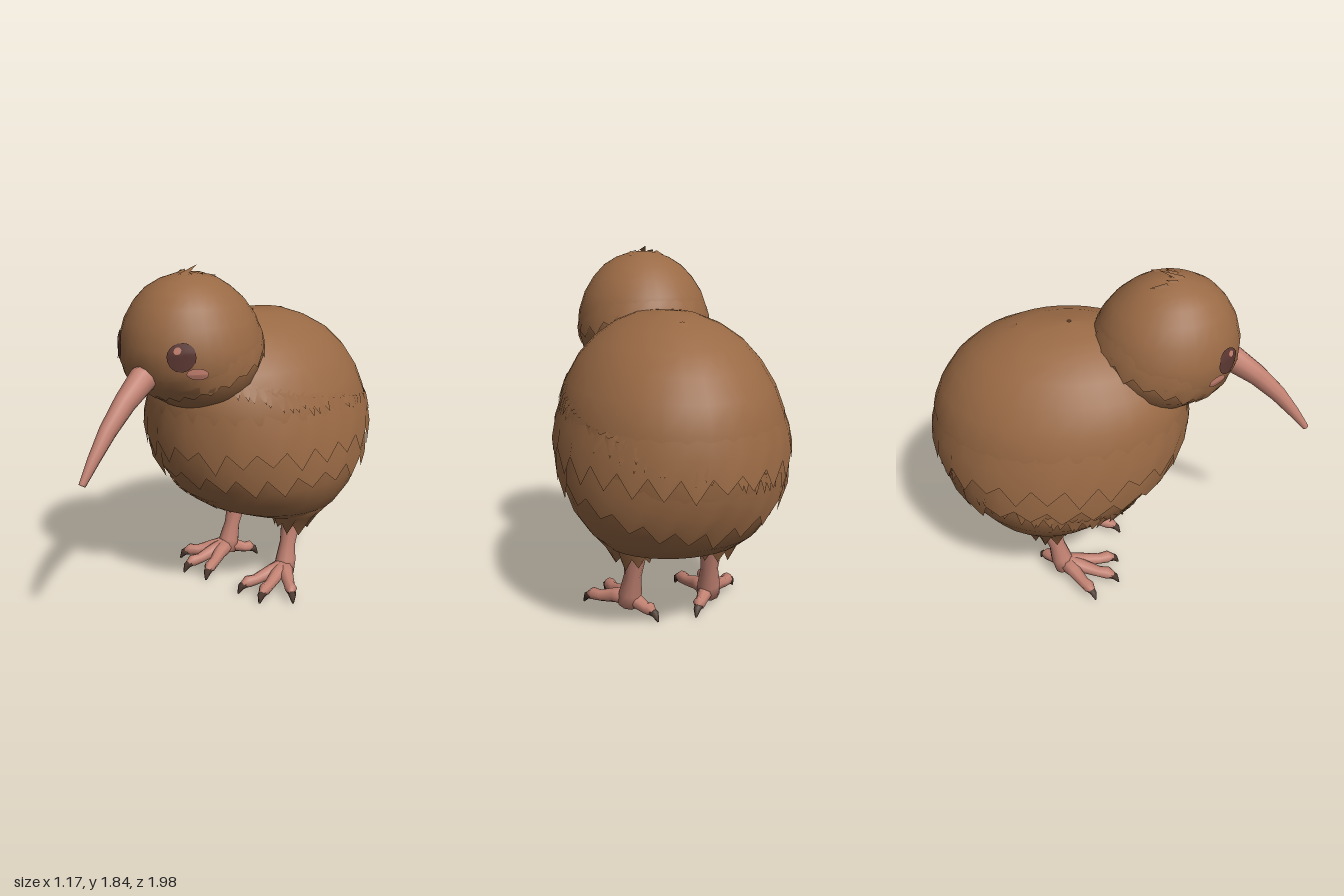
import * as THREE from 'three';
import { mergeGeometries } from 'three/addons/utils/BufferGeometryUtils.js';

const mat = (name, color, side = THREE.FrontSide) => {
  const m = new THREE.MeshStandardMaterial({ color, side });
  m.name = name;
  return m;
};
const V = (x, y, z) => new THREE.Vector3(x, y, z);
const TAU = Math.PI * 2;

// Cross-sections: [y, front z, back z, half width]
const BODY = [
  [0.37, -0.39, -0.41, 0.01], [0.39, -0.24, -0.56, 0.26], [0.43, -0.12, -0.67, 0.35], [0.5, 0.03, -0.77, 0.43],
  [0.6, 0.16, -0.85, 0.5], [0.7, 0.24, -0.91, 0.535], [0.82, 0.31, -0.95, 0.555], [0.96, 0.345, -0.965, 0.56],
  [1.1, 0.365, -0.955, 0.545], [1.22, 0.36, -0.905, 0.505], [1.33, 0.31, -0.83, 0.44], [1.42, 0.22, -0.73, 0.36],
  [1.49, 0.11, -0.6, 0.26], [1.535, -0.01, -0.47, 0.15], [1.555, -0.23, -0.25, 0.01]];
const HEAD = [
  [1.12, 0.2, 0.1, 0.06], [1.17, 0.37, 0.02, 0.18], [1.22, 0.45, -0.03, 0.255], [1.3, 0.55, -0.08, 0.325],
  [1.4, 0.595, -0.12, 0.352], [1.5, 0.6, -0.125, 0.346], [1.6, 0.575, -0.09, 0.312], [1.68, 0.53, -0.03, 0.262],
  [1.74, 0.475, 0.04, 0.205], [1.78, 0.41, 0.1, 0.14], [1.805, 0.33, 0.17, 0.07], [1.812, 0.26, 0.24, 0.008]];

// Interpolated cross-section at a height
function section(rows, y) {
  let i = 0;
  while (i < rows.length - 2 && rows[i + 1][0] < y) i++;
  const t = THREE.MathUtils.clamp((y - rows[i][0]) / (rows[i + 1][0] - rows[i][0]), 0, 1);
  const [, f, b, w] = rows[i].map((v, k) => v + (rows[i + 1][k] - v) * t);
  return { c: (f + b) / 2, d: (f - b) / 2, w };
}
// Point on a shape; angle 0 faces the front and grows towards +x
function onSurface(rows, a, y, off = 0) {
  const { c, d, w } = section(rows, y);
  return V((w + off) * Math.sin(a), y, c + (d + off) * Math.cos(a));
}

// Skin closed rings of points, listed bottom to top
function loft(rings) {
  const n = rings[0].length, idx = [];
  for (let i = 0; i < rings.length - 1; i++) for (let j = 0; j < n; j++) {
    const a = i * n + j, b = i * n + (j + 1) % n;
    idx.push(a, b, b + n, a, b + n, a + n);
  }
  const g = new THREE.BufferGeometry().setFromPoints(rings.flat());
  g.setIndex(idx);
  g.computeVertexNormals();
  return g;
}
const ringOf = (n, fn) => Array.from({ length: n }, (_, j) => fn((j / n) * TAU, j));
const shell = (rows) => loft(rows.map((r) => ringOf(32, (a) => onSurface(rows, a, r[0]))));

// Tapered tube through points with a radius at each, closed at both ends
function limb(pts, radii, n = 10) {
  const rings = pts.map((p, i) => {
    const t = pts[Math.min(i + 1, pts.length - 1)].clone().sub(pts[Math.max(i - 1, 0)]).normalize();
    const u = (Math.abs(t.x) > 0.8 ? V(0, 0, 1) : V(1, 0, 0)).cross(t).normalize();
    const v = t.clone().cross(u);
    return ringOf(n, (a) => p.clone().addScaledVector(u, Math.cos(a) * radii[i]).addScaledVector(v, Math.sin(a) * radii[i]));
  });
  const cap = (p) => ringOf(n, () => p.clone());
  return loft([cap(pts[0]), ...rings, cap(pts[pts.length - 1])]);
}

let seed = 7;
const rand = () => (seed = (seed * 16807) % 2147483647) / 2147483647;

// Ruff of feathers with a ragged lower hem
function ruff(rows, hem, height, teeth, depth, flare) {
  const n = teeth * 2;
  const lows = ringOf(n, (a, j) => hem(a) - (j % 2 ? depth * (0.6 + 0.7 * rand()) : 0));
  return loft([
    ringOf(n, (a, j) => onSurface(rows, a, lows[j], flare)),
    ringOf(n, (a) => onSurface(rows, a, hem(a) + height * 0.4, flare * 0.6)),
    ringOf(n, (a) => onSurface(rows, a, hem(a) + height, -0.004))]);
}
// Single pointed feather with a raised ridge
function feather(left, right, ridge, tip) {
  const g = new THREE.BufferGeometry().setFromPoints([left, right, ridge, tip]);
  g.setIndex([0, 3, 2, 2, 3, 1]);
  g.computeVertexNormals();
  return g;
}
function surfaceFeather(rows, a, y, len, width, lift) {
  const da = width / 2 / (section(rows, y).w + 0.05);
  return feather(onSurface(rows, a - da, y, -0.003), onSurface(rows, a + da, y, -0.003),
    onSurface(rows, a, y - len * 0.2, lift * 0.5), onSurface(rows, a + (rand() - 0.5) * 0.08, y - len, lift));
}

export function createModel() {
  const plumage = mat('brown plumage', 0x9a6a45, THREE.DoubleSide);
  const skin = mat('pink skin', 0xc28272);
  const claw = mat('dark claw', 0x4c372e);
  const eyeMat = mat('dark eye', 0x5c3833);
  const blush = mat('pink blush', 0xc07d6c);
  const model = new THREE.Group();
  model.name = 'bird';
  const add = (name, geometry, material, parent = model) => {
    const m = new THREE.Mesh(geometry, material);
    m.name = name;
    parent.add(m);
    return m;
  };

  // Body and its layered feathers
  add('body', shell(BODY), plumage);
  const back = (a) => Math.max(0, -Math.cos(a));
  add('upperRuff', ruff(BODY, (a) => 0.95 - 0.04 * back(a), 0.22, 26, 0.1, 0.026), plumage);
  add('lowerRuff', ruff(BODY, (a) => 0.8 - 0.17 * back(a) ** 2, 0.2, 24, 0.09, 0.026), plumage);
  const loose = [];
  for (let i = 0; i < 80; i++) {
    const y = 0.55 + 0.85 * ((i * 0.618) % 1);
    loose.push(surfaceFeather(BODY, i * 2.4, y, 0.08 + 0.04 * rand(), 0.09, y > 1.1 ? 0.008 : 0.022));
  }
  loose.push(feather(V(-0.04, 1.52, -0.5), V(0.04, 1.52, -0.5), V(0, 1.53, -0.5), V(0, 1.475, -0.62)));
  add('bodyFeathers', mergeGeometries(loose), plumage);

  // Head, neck ruff and crest
  add('head', shell(HEAD), plumage);
  add('neckRuff', ruff(HEAD, (a) => 1.385 - 0.135 * Math.cos(a), 0.12, 22, 0.045, 0.008), plumage);
  const crest = [[0, 0.36, 0.19, 1.842], [-0.05, 0.33, 0.22, 1.82], [0.05, 0.33, 0.22, 1.82],
    [-0.09, 0.28, 0.15, 1.795], [0.09, 0.28, 0.15, 1.795]].map(([x, z0, z1, y]) =>
    feather(V(x * 0.6 + 0.035, 1.79, z0 - 0.03), V(x * 0.6 - 0.035, 1.79, z0 - 0.03), V(x * 0.8, 1.815, z0 - 0.05), V(x, y, z1)));
  add('crest', mergeGeometries(crest), plumage);

  // Long curved beak
  add('beak', limb([V(0, 1.37, 0.5), V(0, 1.352, 0.585), V(0, 1.265, 0.7), V(0, 1.155, 0.815), V(0, 1.04, 0.91), V(0, 0.94, 0.985)],
    [0.07, 0.067, 0.054, 0.043, 0.03, 0.017]), skin);

  // Painted face spots, wrapped over the head
  const spot = (name, cx, cy, rx, ry, lift, material) => {
    const g = new THREE.RingGeometry(0, 1, 20, 4);
    const p = g.attributes.position;
    for (let i = 0; i < p.count; i++) {
      const x = cx + p.getX(i) * rx, y = cy + p.getY(i) * ry;
      const v = onSurface(HEAD, Math.asin(x / section(HEAD, y).w), y, lift);
      p.setXYZ(i, v.x, v.y, v.z);
    }
    g.computeVertexNormals();
    add(name, g, material);
  };
  for (const s of [1, -1]) {
    spot('eye', s * 0.2, 1.48, 0.054, 0.068, 0.005, eyeMat);
    spot('eyeShine', s * 0.188, 1.512, 0.014, 0.017, 0.008, blush);
    spot('cheek', s * 0.255, 1.402, 0.034, 0.028, 0.007, blush);
  }

  // Legs: thigh feathers, shank, and four clawed toes
  for (const s of [1, -1]) {
    const leg = new THREE.Group();
    leg.name = s > 0 ? 'leftLeg' : 'rightLeg';
    model.add(leg);
    const thigh = (y, r, z, x, jag = 0) => ringOf(18, (a, j) =>
      V(s * x + r * Math.sin(a), y - (j % 2 ? jag * (0.5 + 0.7 * rand()) : 0), z + r * Math.cos(a)));
    add('thighFeathers', loft([thigh(0.36, 0.095, -0.37, 0.205, 0.055), thigh(0.42, 0.14, -0.37, 0.22),
      thigh(0.5, 0.19, -0.36, 0.24), thigh(0.62, 0.2, -0.35, 0.25)]), plumage, leg);
    add('shank', limb([V(s * 0.2, 0.46, -0.38), V(s * 0.2, 0.33, -0.365), V(s * 0.205, 0.22, -0.335),
      V(s * 0.21, 0.13, -0.315), V(s * 0.215, 0.06, -0.29)], [0.065, 0.055, 0.045, 0.058, 0.06]), skin, leg);
    // Toe tips: inner, middle, outer, hind
    const ankle = V(s * 0.215, 0.085, -0.29);
    for (const [x, z] of [[0.13, -0.03], [0.27, -0.02], [0.39, -0.13], [0.12, -0.42]]) {
      const tip = V(s * x, 0.055, z);
      const at = (t, y) => ankle.clone().lerp(tip, t).setY(y);
      add('toe', limb([at(0, 0.09), at(0.35, 0.08), at(0.7, 0.06), at(0.9, 0.062), at(1.02, 0.052)],
        [0.052, 0.038, 0.03, 0.034, 0.018], 8), skin, leg);
      const dir = tip.clone().sub(ankle).setY(0).normalize();
      add('claw', limb([tip.clone().addScaledVector(dir, -0.02), tip.clone().addScaledVector(dir, 0.015).setY(0.043),
        tip.clone().addScaledVector(dir, 0.035).setY(0.006)], [0.026, 0.02, 0.005], 6), claw, leg);
    }
  }
  return model;
}
